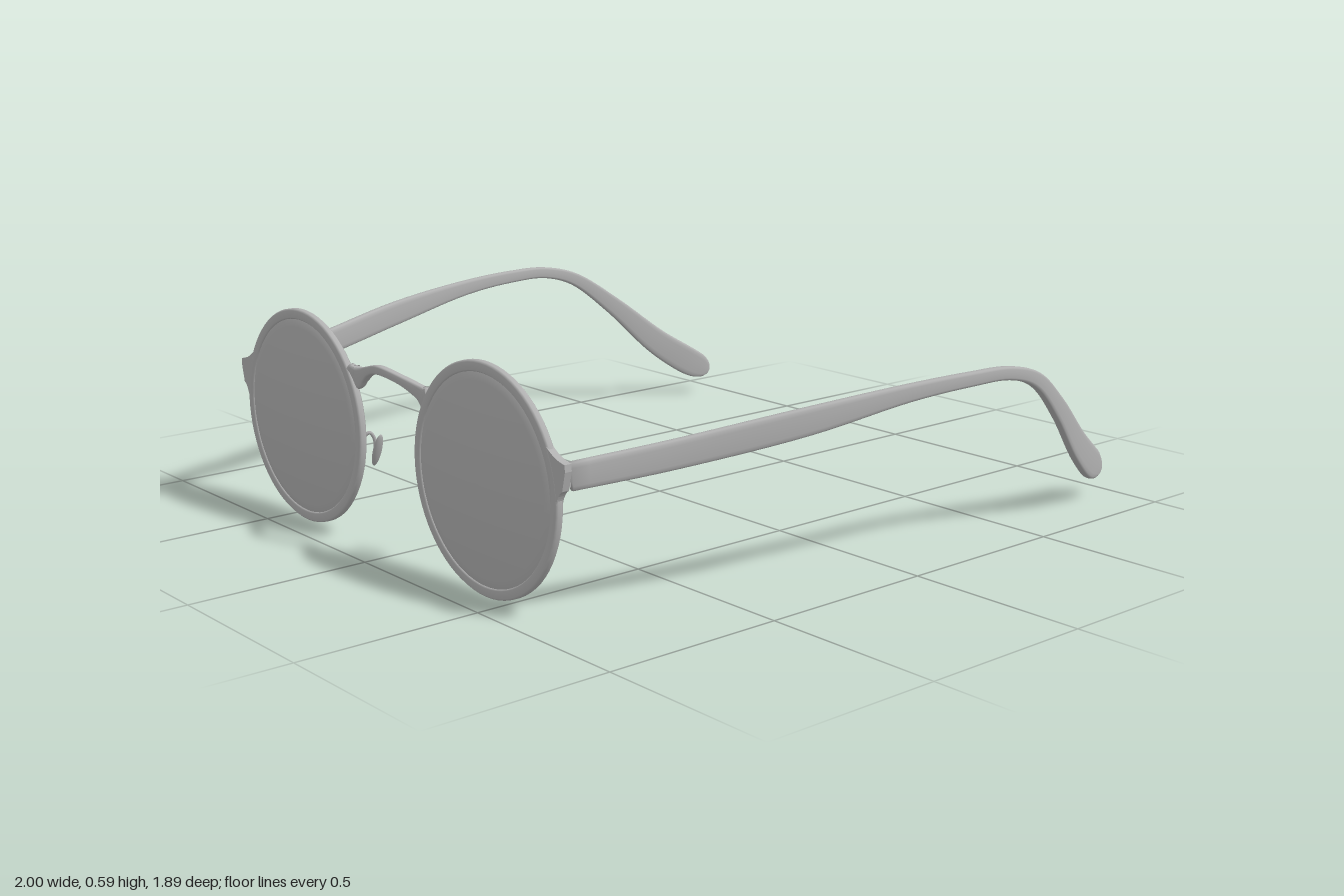
import * as THREE from 'three';

const V = (x, y, z) => new THREE.Vector3(x, y, z);

// Sweeps a rounded-rectangle section along rows of [x, y, z, halfHeight].
function sweep(rows, halfWidth, steps, sides = 16) {
  const path = new THREE.CatmullRomCurve3(rows.map(r => V(r[0], r[1], r[2])));
  const size = new THREE.CatmullRomCurve3(rows.map(r => V(r[3], r[0], r[2])));
  const pos = [], index = [];
  const soft = v => Math.sign(v) * Math.sqrt(Math.abs(v));
  for (let i = 0; i <= steps; i++) {
    const t = i / steps, p = path.getPoint(t), T = path.getTangent(t);
    const h = Math.max(size.getPoint(t).x, 0.003), w = Math.min(halfWidth, h * 1.2);
    const u = V(0, 1, 0).cross(T).normalize(), v = T.clone().cross(u);
    for (let j = 0; j < sides; j++) {
      const a = (j / sides) * Math.PI * 2;
      const q = p.clone().addScaledVector(u, soft(Math.cos(a)) * w).addScaledVector(v, soft(Math.sin(a)) * h);
      pos.push(q.x, q.y, q.z);
    }
  }
  for (let i = 0; i < steps; i++) for (let j = 0; j < sides; j++) {
    const k = (j + 1) % sides, a = i * sides + j, b = i * sides + k;
    index.push(a, b, a + sides, b, b + sides, a + sides);
  }
  // end caps
  const last = steps * sides;
  for (let j = 1; j < sides - 1; j++) index.push(0, j + 1, j, last, last + j, last + j + 1);
  const g = new THREE.BufferGeometry();
  g.setAttribute('position', new THREE.Float32BufferAttribute(pos, 3));
  g.setIndex(index);
  g.computeVertexNormals();
  return g;
}

// Lathe turned so that its axis points to the front.
const turned = pts => new THREE.LatheGeometry(pts.map(p => new THREE.Vector2(p[0], p[1])), 72).rotateX(Math.PI / 2);

export function createModel() {
  const model = new THREE.Group();
  model.name = 'spectacles';
  const grey = new THREE.MeshStandardMaterial({ color: 0xb0b0b0 });
  grey.name = 'grey';
  const add = (name, geometry, x = 0, y = 0, z = 0) => {
    const m = new THREE.Mesh(geometry, grey);
    m.name = name;
    m.position.set(x, y, z);
    model.add(m);
    return m;
  };

  // rim section and thin domed lens section, as [radius, z]
  const rim = [[0.267, 0.905], [0.271, 0.901], [0.29, 0.901], [0.295, 0.906],
    [0.295, 0.918], [0.29, 0.923], [0.271, 0.923], [0.267, 0.919], [0.267, 0.905]];
  const lens = [];
  for (let i = 0; i <= 10; i++) lens.push([0.274 * i / 10, 0.935 - 0.025 * (i / 10) ** 2]);
  for (let i = 10; i >= 0; i--) lens.push([0.274 * i / 10, 0.943 - 0.025 * (i / 10) ** 2]);

  // temple arm rows for the left side
  const arm = [
    [0.735, 0.37, 0.897, 0.035], [0.8, 0.39, 0.64, 0.037], [0.898, 0.432, 0.3, 0.036],
    [0.955, 0.467, 0, 0.023], [0.98, 0.476, -0.2, 0.019], [0.986, 0.472, -0.34, 0.018],
    [0.978, 0.437, -0.46, 0.021], [0.945, 0.33, -0.605, 0.03], [0.9, 0.195, -0.755, 0.043],
    [0.862, 0.118, -0.865, 0.047], [0.849, 0.094, -0.908, 0.041], [0.843, 0.081, -0.93, 0.027],
    [0.84, 0.074, -0.942, 0.004]];

  for (const s of [1, -1]) {
    const side = s > 0 ? 'left' : 'right';
    add(side + 'Rim', turned(rim), s * 0.42, 0.295, 0);
    add(side + 'Lens', turned(lens), s * 0.42, 0.295, 0);
    add(side + 'Arm', sweep(arm.map(([x, y, z, h]) => [s * x, y, z, h]), 0.013, 72));

    // flared lug joining rim and arm
    const lug = new THREE.Shape();
    lug.moveTo(s * 0.655, 0.455);
    lug.quadraticCurveTo(s * 0.69, 0.41, s * 0.745, 0.403);
    lug.lineTo(s * 0.746, 0.385);
    lug.lineTo(s * 0.735, 0.337);
    lug.quadraticCurveTo(s * 0.712, 0.325, s * 0.706, 0.27);
    lug.lineTo(s * 0.69, 0.3);
    lug.lineTo(s * 0.682, 0.38);
    lug.lineTo(s * 0.655, 0.44);
    add(side + 'Lug', new THREE.ExtrudeGeometry(lug, { depth: 0.02, bevelEnabled: false, curveSegments: 8 }), 0, 0, 0.902);

    // hinge: plate and barrel behind the lug
    add(side + 'HingePlate', new THREE.BoxGeometry(0.03, 0.05, 0.012), s * 0.718, 0.368, 0.897);
    add(side + 'HingeBarrel', new THREE.CylinderGeometry(0.009, 0.009, 0.05, 16), s * 0.712, 0.368, 0.887);

    // nose pad on a curled wire
    const wire = new THREE.CatmullRomCurve3([V(s * 0.152, 0.25, 0.906), V(s * 0.148, 0.285, 0.9),
      V(s * 0.14, 0.298, 0.885), V(s * 0.138, 0.28, 0.872), V(s * 0.14, 0.25, 0.868)]);
    add(side + 'PadWire', new THREE.TubeGeometry(wire, 20, 0.005, 8));
    const pad = add(side + 'NosePad', new THREE.SphereGeometry(1, 20, 14), s * 0.138, 0.247, 0.864);
    pad.scale.set(0.009, 0.05, 0.013);
    pad.rotation.z = s * 0.4;
  }

  // bridge, bowed forward in the middle and flaring into the rims
  const half = [[0.19, 0.465, 0.911, 0.02], [0.165, 0.447, 0.904, 0.033], [0.135, 0.457, 0.9, 0.021],
    [0.08, 0.479, 0.914, 0.013]];
  const bridge = [...half.map(([x, y, z, h]) => [-x, y, z, h]), [0, 0.497, 0.932, 0.012], ...half.slice().reverse()];
  add('bridge', sweep(bridge, 0.011, 48));

  return model;
}
